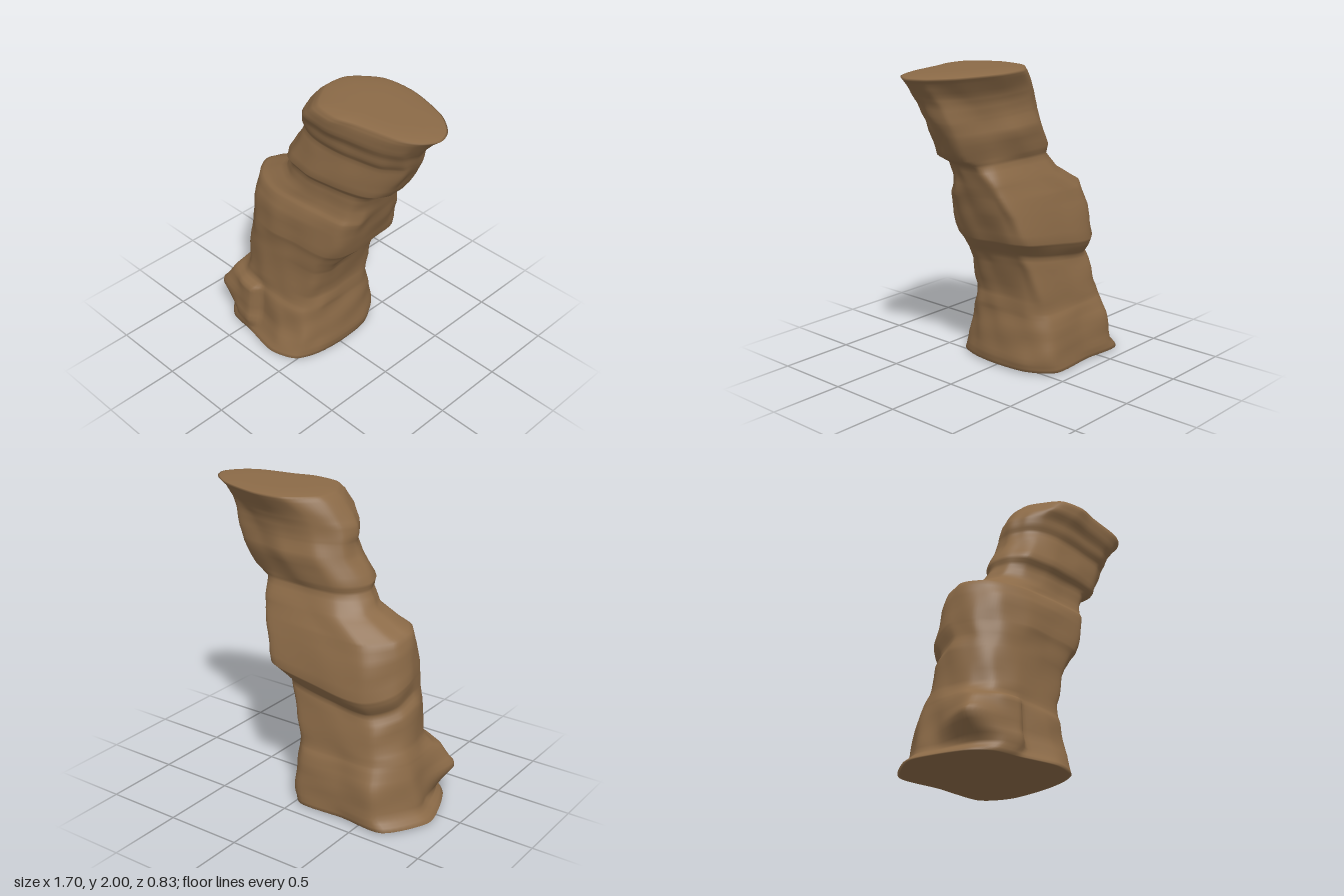
import * as THREE from 'three';

const SIDES = 104;

// Plan outlines scaled to a unit square, running from +x round through +z
const outlines = [
  // foot: flat back, rounded front right corner
  [[1, 0], [0.95, 0.5], [0.8, 0.85], [0.43, 1], [-0.1, 0.9], [-0.5, 0.84], [-0.74, 0.6],
    [-0.93, 0.1], [-1, -0.37], [-0.64, -1], [0, -0.98], [0.68, -1], [0.95, -0.6]],
  // shaft: squarish block, rounded at one end
  [[1, 0.05], [0.98, 0.52], [0.83, 0.84], [0.3, 0.95], [-0.2, 1], [-0.62, 0.86], [-0.88, 0.53],
    [-1, 0.05], [-0.95, -0.45], [-0.62, -0.92], [0, -1], [0.82, -0.98], [0.97, -0.68]],
  // neck: narrow nose with a hollow behind it
  [[1, 0.05], [0.96, 0.4], [0.7, 0.72], [0.2, 0.92], [-0.3, 1], [-0.7, 0.86], [-0.9, 0.5],
    [-1, 0.1], [-0.93, -0.45], [-0.6, -0.9], [-0.05, -1], [0.45, -0.76], [0.93, -0.5]],
  // crown: tapers to a blunt nose on the leaning side
  [[1, 0.1], [0.86, 0.46], [0.6, 0.69], [0, 0.87], [-0.33, 1], [-0.7, 0.9], [-0.9, 0.47],
    [-1, 0.1], [-0.95, -0.45], [-0.58, -0.95], [-0.06, -1], [0.57, -0.7], [0.9, -0.3]],
].map((pts) => new THREE.CatmullRomCurve3(
  pts.map(([u, v]) => new THREE.Vector3(u, 0, v)), true, 'catmullrom', 0.4));

// Strata: height, x min, x max, z min, z max, outline blend
const strata = [
  [0.015, -0.85, 0.09, -0.41, 0.41, 0],
  [0.08, -0.77, 0.1, -0.41, 0.38, 0],
  [0.18, -0.76, 0.09, -0.4, 0.345, 0.1],
  [0.28, -0.74, 0.08, -0.39, 0.33, 0.2],
  [0.36, -0.73, 0.07, -0.365, 0.32, 0.4],
  [0.41, -0.72, 0.07, -0.345, 0.3, 0.6],
  [0.5, -0.68, 0.06, -0.34, 0.29, 0.8],
  [0.7, -0.67, 0.11, -0.31, 0.275, 1],
  [0.79, -0.64, 0.15, -0.29, 0.275, 1],
  [0.86, -0.65, 0.21, -0.34, 0.275, 1],
  [0.91, -0.65, 0.255, -0.37, 0.28, 1],
  [1.08, -0.63, 0.305, -0.335, 0.27, 1],
  [1.18, -0.6, 0.34, -0.3, 0.24, 1],
  [1.22, -0.52, 0.35, -0.285, 0.21, 1],
  [1.3, -0.37, 0.37, -0.26, 0.185, 1.1],
  [1.4, -0.31, 0.41, -0.21, 0.18, 1.4],
  [1.46, -0.32, 0.515, -0.235, 0.22, 1.8],
  [1.6, -0.23, 0.6, -0.265, 0.2, 2],
  [1.69, -0.2, 0.645, -0.24, 0.18, 2],
  [1.74, -0.2, 0.67, -0.235, 0.205, 2.1],
  [1.8, -0.19, 0.695, -0.235, 0.215, 2.3],
  [1.86, -0.15, 0.735, -0.25, 0.25, 2.6],
  [1.94, -0.08, 0.805, -0.285, 0.255, 3],
  [1.975, -0.04, 0.845, -0.3, 0.24, 3],
];

// One closed loop of points round a stratum
function ring([y, x0, x1, z0, z1, blend]) {
  const k = Math.min(2, Math.floor(blend));
  const inner = THREE.MathUtils.clamp((Math.min(y, 1.975 - y) - 0.015) / 0.1, 0, 1);
  const slabHeight = 1 - THREE.MathUtils.smoothstep(y, 0.36, 0.41);
  const spurHeight = Math.max(0, 1 - Math.abs(y - 0.23) / (y > 0.23 ? 0.22 : 0.17));
  const loop = [];
  for (let i = 0; i < SIDES; i++) {
    const t = i / SIDES;
    const p = outlines[k].getPoint(t).lerp(outlines[k + 1].getPoint(t), blend - k);
    const a = t * Math.PI * 2;
    // gentle weathering
    const s = 1 + inner * (0.01 * Math.sin(5 * a + 7 * y) * Math.sin(9 * y + 2 * a)
      + 0.007 * Math.sin(11 * a - 13 * y) + 0.007 * Math.sin(31 * y + 3 * a) - 0.006);
    // beds slope along the back and undulate slightly round the shaft
    const back = Math.max(0, -p.z) * Math.exp(-(((y - 0.85) / 0.3) ** 2));
    const dy = inner * 0.006 * Math.sin(3 * a + 4 * y) + back * 0.07 * (p.x - 0.85);
    // slab and pointed spur at the front right foot
    const slab = p.z > 0 ? slabHeight * inner * p.z
      * (1 - THREE.MathUtils.smoothstep(p.x, -0.25, -0.05)) : 0;
    const spur = spurHeight * Math.exp(-(((t - 6 / 13) / 0.055) ** 2));
    loop.push(new THREE.Vector3(
      (x0 + x1) / 2 + p.x * s * (x1 - x0) / 2 - 0.15 * spur,
      y + dy,
      (z0 + z1) / 2 + p.z * s * (z1 - z0) / 2 + 0.07 * slab + 0.06 * spur));
  }
  return loop;
}

// Skin a stack of loops from the bottom to the top
function skin(name, loops, material) {
  const pos = [];
  const index = [];
  loops.forEach((loop) => loop.forEach((p) => pos.push(p.x, p.y, p.z)));
  for (let r = 0; r < loops.length - 1; r++) {
    for (let i = 0; i < SIDES; i++) {
      const a = r * SIDES + i;
      const b = r * SIDES + (i + 1) % SIDES;
      index.push(a, a + SIDES, b, b, a + SIDES, b + SIDES);
    }
  }
  const geo = new THREE.BufferGeometry();
  geo.setAttribute('position', new THREE.Float32BufferAttribute(pos, 3));
  geo.setIndex(index);
  geo.computeVertexNormals();
  const mesh = new THREE.Mesh(geo, material);
  mesh.name = name;
  return mesh;
}

// Loops shrinking from an edge to its middle, rising or sinking by h
function capLoops(edge, h) {
  const mid = edge.reduce((m, p) => m.add(p), new THREE.Vector3()).divideScalar(SIDES);
  return [0.97, 0.88, 0.7, 0.45, 0.2, 0].map((s) => edge.map((p) => {
    const q = mid.clone().lerp(p, s);
    q.y += h * (1 - s ** 6);
    return q;
  }));
}

export function createModel() {
  const group = new THREE.Group();
  group.name = 'rockPillar';
  const rock = new THREE.MeshStandardMaterial({ color: 0x8b6a47 });

  // Weathered shaft, three steps between strata
  const shaft = [];
  for (let r = 0; r < strata.length - 1; r++) {
    for (let s = 0; s < 3; s++) {
      shaft.push(ring(strata[r].map((v, j) => THREE.MathUtils.lerp(v, strata[r + 1][j], s / 3))));
    }
  }
  const rim = ring(strata[strata.length - 1]);

  // Underside, shaft and crown flow into one worn surface
  const underside = capLoops(shaft[0], -0.015).reverse();
  const crown = capLoops(rim, 0.02);
  group.add(skin('rock', [...underside, ...shaft, rim, ...crown], rock));
  return group;
}
